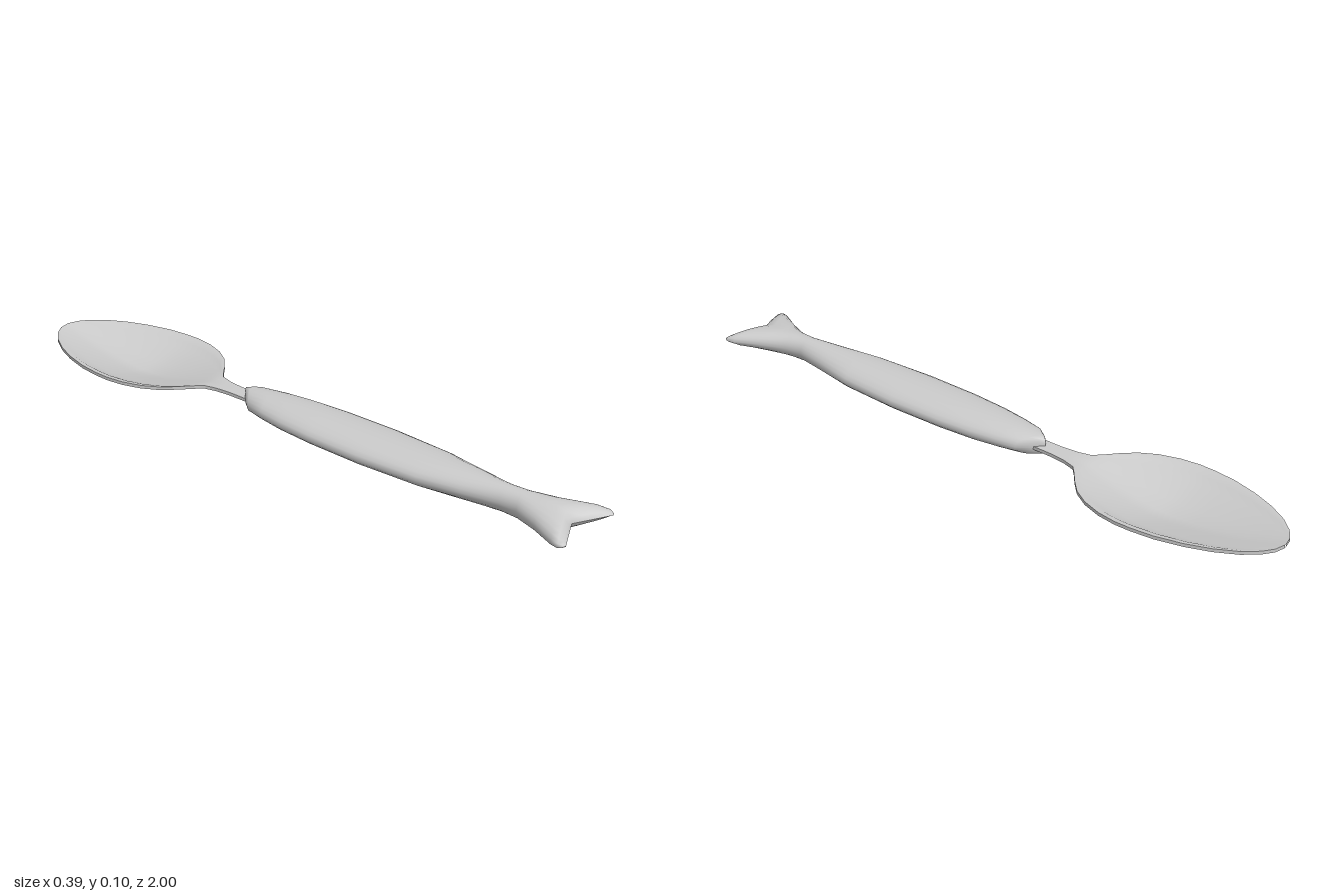
import * as THREE from 'three';
import { toCreasedNormals } from 'three/addons/utils/BufferGeometryUtils.js';

// Skins closed rings (counter-clockwise seen from +z, ordered by rising z).
function loft(rings) {
  const n = rings[0].length;
  const index = [];
  for (let i = 0; i < rings.length - 1; i++) {
    for (let j = 0; j < n; j++) {
      const a = i * n + j, b = i * n + (j + 1) % n;
      const c = a + n, d = b + n;
      index.push(a, b, c, b, d, c);
    }
  }
  const geometry = new THREE.BufferGeometry();
  geometry.setAttribute('position', new THREE.Float32BufferAttribute(rings.flat(2), 3));
  geometry.setIndex(index);
  geometry.computeVertexNormals();
  return geometry;
}

// Fish-shaped handle: z at the sides, z at the middle, half width, height above and below the waterline.
const HANDLE_ROWS = [
  [-0.21, -0.21, 0.002, 0.012, 0.012],
  [-0.19, -0.207, 0.022, 0.026, 0.022],
  [-0.145, -0.19, 0.058, 0.032, 0.028],
  [-0.08, -0.11, 0.072, 0.037, 0.034],
  [0, 0, 0.085, 0.04, 0.038],
  [0.12, 0.12, 0.095, 0.041, 0.039],
  [0.3, 0.3, 0.098, 0.041, 0.04],
  [0.5, 0.5, 0.086, 0.041, 0.04],
  [0.63, 0.63, 0.06, 0.041, 0.039],
  [0.74, 0.74, 0.037, 0.04, 0.038],
  [0.8, 0.79, 0.043, 0.04, 0.038],
  [0.88, 0.84, 0.076, 0.038, 0.035],
  [0.96, 0.895, 0.117, 0.036, 0.03],
  [0.985, 0.925, 0.124, 0.028, 0.022],
  [0.996, 0.94, 0.118, 0.016, 0.012],
  [1, 0.945, 0.108, 0, 0],
];

function handleRing([zSide, zMid, w, up, down]) {
  const ring = [];
  const sides = 24;
  for (let j = 0; j < sides; j++) {
    const a = (j / sides) * Math.PI * 2;
    const s = Math.cos(a), t = Math.sin(a);
    const z = zMid + (zSide - zMid) * Math.abs(s);
    ring.push([w * s, 0.066 + t * (t > 0 ? up : down), z]);
  }
  return ring;
}

// Bowl and neck: z, half width, depth of the hollow.
const BOWL_ROWS = [
  [-1, 0.002, 0], [-0.992, 0.035, 0.002], [-0.97, 0.067, 0.007], [-0.93, 0.103, 0.016],
  [-0.87, 0.138, 0.028], [-0.8, 0.166, 0.04], [-0.72, 0.187, 0.051], [-0.65, 0.195, 0.057],
  [-0.6, 0.196, 0.055], [-0.54, 0.188, 0.046], [-0.48, 0.168, 0.034], [-0.43, 0.138, 0.023],
  [-0.39, 0.098, 0.013], [-0.365, 0.068, 0.007], [-0.34, 0.042, 0.002], [-0.3, 0.031, 0],
  [-0.25, 0.026, 0], [-0.12, 0.025, 0],
];
const STATIONS = [1, 0.93, 0.84, 0.7, 0.5, 0.25, 0, -0.25, -0.5, -0.7, -0.84, -0.93, -1];

function bowlRing([z, w, depth]) {
  const under = (s) => 0.06 - depth * (1 - Math.abs(s) ** 1.2);
  // Flat lip along the rim, then the hollow.
  const over = (s) => (Math.abs(s) > 0.9 ? 0.07 : under(s) + 0.01);
  return [
    ...STATIONS.map((s) => [w * s, over(s), z]),
    ...STATIONS.map((s) => [-w * s, under(s), z]),
  ];
}

export function createModel() {
  const material = new THREE.MeshStandardMaterial({ color: 0xcccccc });
  const group = new THREE.Group();
  group.name = 'fishHandledSpoon';

  const handle = new THREE.Mesh(loft(HANDLE_ROWS.map(handleRing)), material);
  handle.name = 'fishHandle';

  const bowl = new THREE.Mesh(toCreasedNormals(loft(BOWL_ROWS.map(bowlRing)), 0.8), material);
  bowl.name = 'bowlAndNeck';

  group.add(handle, bowl);
  return group;
}
